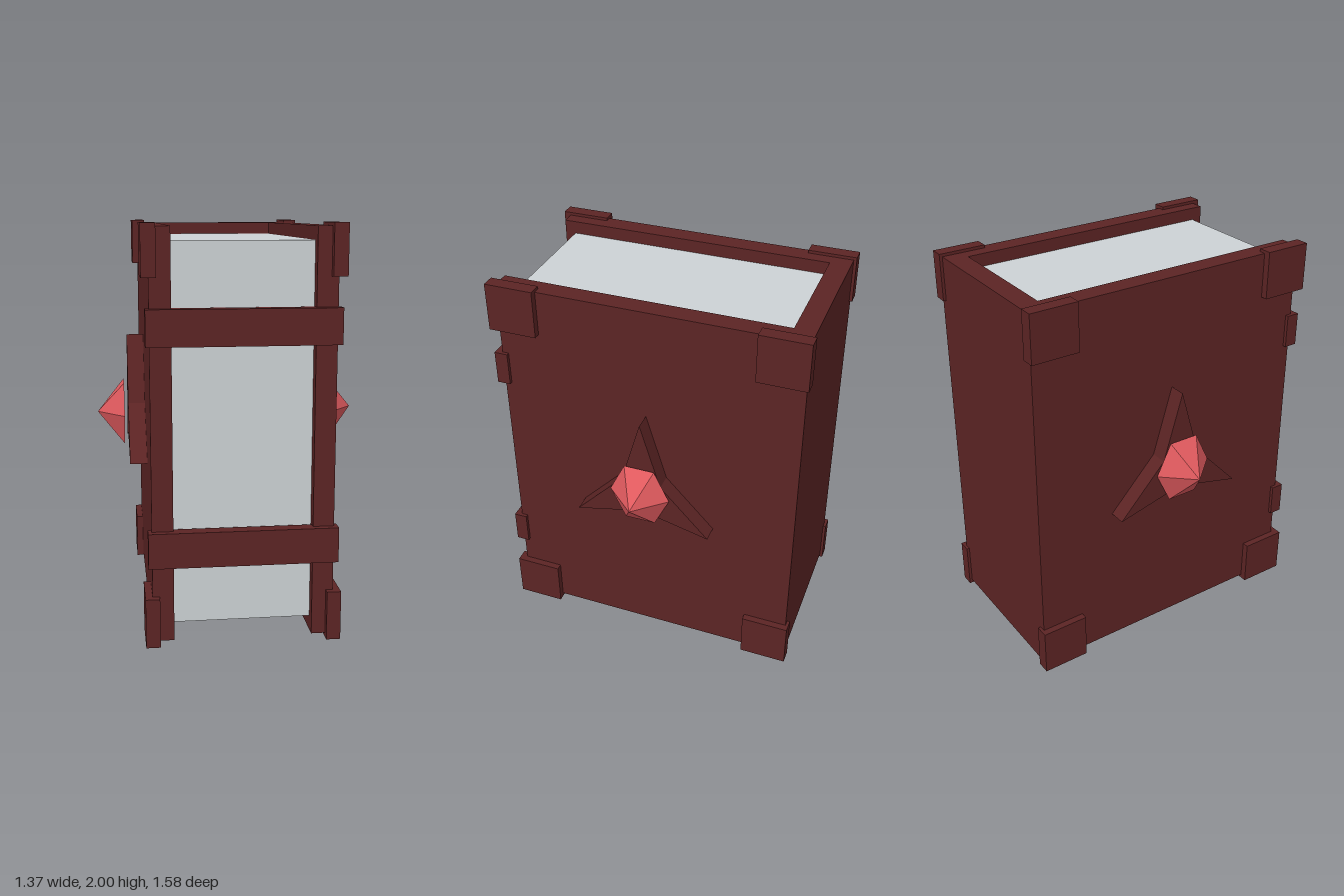
import * as THREE from 'three';

export function createModel() {
  const model = new THREE.Group();
  const leather = new THREE.MeshStandardMaterial({ color: 0x5c2424 });
  leather.name = 'dark red leather';
  const paper = new THREE.MeshStandardMaterial({ color: 0xcdd2d5 });
  paper.name = 'pale grey paper';
  const ruby = new THREE.MeshStandardMaterial({ color: 0xe05a5e, flatShading: true });
  ruby.name = 'red gem';

  // Box given by its minimum and maximum on each axis
  function box(name, material, x0, x1, y0, y1, z0, z1) {
    const mesh = new THREE.Mesh(new THREE.BoxGeometry(x1 - x0, y1 - y0, z1 - z0), material);
    mesh.position.set((x0 + x1) / 2, (y0 + y1) / 2, (z0 + z1) / 2);
    mesh.name = name;
    model.add(mesh);
  }

  // Page block and spine
  box('pages', paper, -0.335, 0.335, 0.09, 1.92, -0.67, 0.70);
  box('spine', leather, -0.335, 0.335, 0.02, 1.985, -0.775, -0.67);

  // Straps across the page edge
  for (const y of [0.48, 1.53]) {
    box('strap', leather, -0.455, 0.455, y - 0.086, y + 0.086, 0.722, 0.79);
  }

  // Three-pointed star outline
  const star = new THREE.Shape();
  for (let i = 0; i < 6; i++) {
    const r = i % 2 ? 0.12 : 0.41;
    const a = Math.PI / 2 + i * Math.PI / 3;
    const x = r * Math.cos(a), y = r * Math.sin(a);
    if (i) star.lineTo(x, y); else star.moveTo(x, y);
  }
  star.closePath();
  const starGeometry = new THREE.ExtrudeGeometry(star, { depth: 0.09, bevelEnabled: false });

  // Six-sided gem with its point outward along z
  const gemGeometry = new THREE.ConeGeometry(1, 0.14, 6);
  gemGeometry.rotateX(Math.PI / 2);
  gemGeometry.rotateZ(Math.PI / 6);
  gemGeometry.computeBoundingBox();
  const size = gemGeometry.boundingBox.getSize(new THREE.Vector3());
  if (size.x < size.y) gemGeometry.rotateZ(Math.PI / 6); // corners to the sides
  gemGeometry.scale(0.157, 0.188, 1);

  for (const side of [-1, 1]) {
    const span = (a, b) => (side > 0 ? [a, b] : [-b, -a]);
    const word = side > 0 ? 'left' : 'right';
    box(word + 'Cover', leather, ...span(0.335, 0.437), 0.02, 1.985, -0.775, 0.755);

    // Corner guards
    for (const y of [0, 1.757]) {
      for (const z of [-0.79, 0.545]) {
        box(word + 'CornerGuard', leather, ...span(0.403, 0.472), y, y + 0.243, z, z + 0.245);
      }
    }

    // Raised star and floating gem
    const emblem = new THREE.Group();
    emblem.name = word + 'Emblem';
    emblem.position.y = 1.003;
    emblem.rotation.y = side * Math.PI / 2;
    const starMesh = new THREE.Mesh(starGeometry, leather);
    starMesh.name = 'star';
    starMesh.position.z = 0.434;
    const gem = new THREE.Mesh(gemGeometry, ruby);
    gem.name = 'gem';
    gem.position.z = 0.613;
    emblem.add(starMesh, gem);
    model.add(emblem);
  }
  return model;
}
